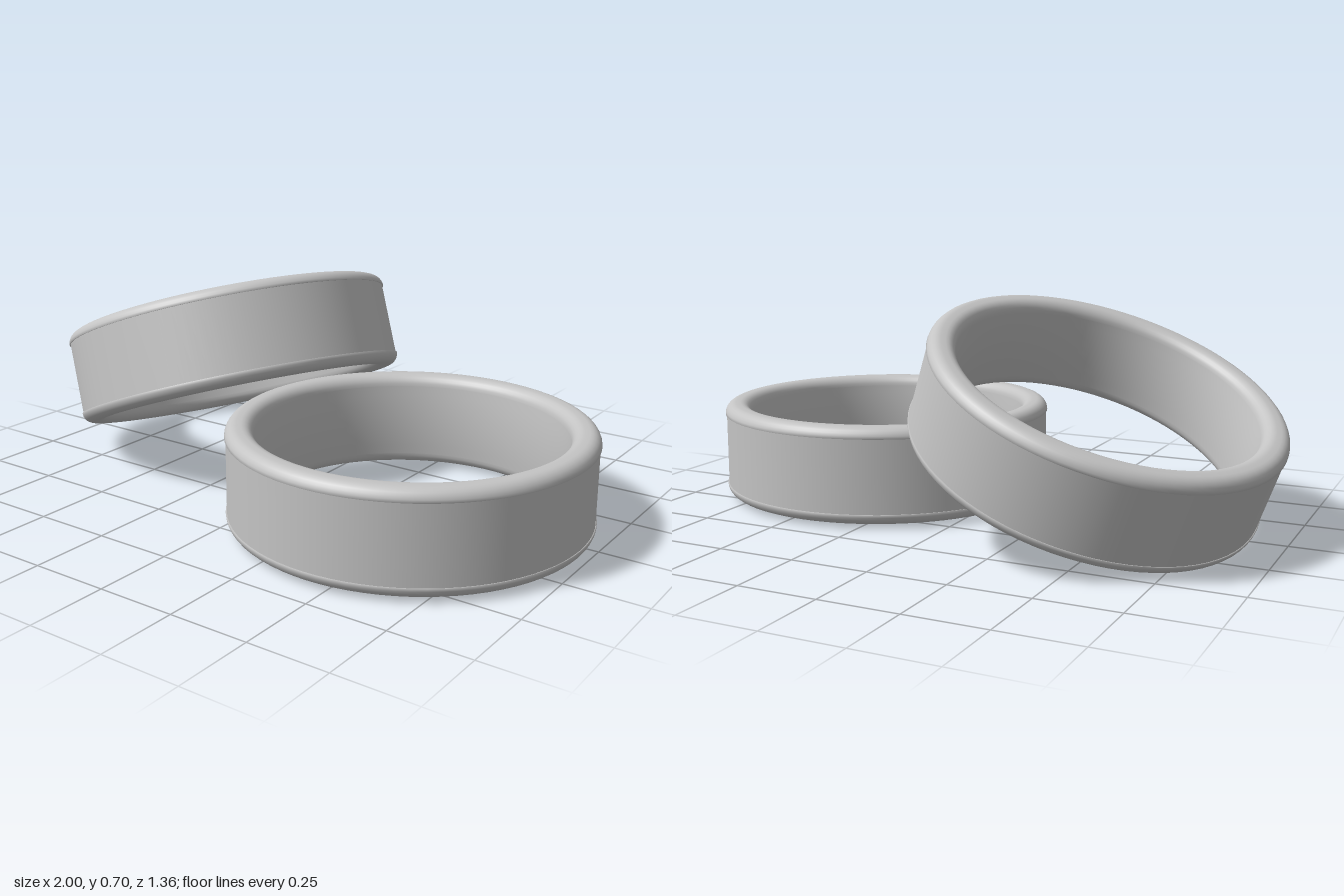
import * as THREE from 'three';

const OUTER = 0.56, INNER = 0.466, HALF = 0.156, SEGMENTS = 80;
const FILLET = 0.036; // rounding of the rims

// Quarter-round arc in the (radius, height) plane
function arc(cx, cy, r, from, to, steps = 6) {
  return Array.from({ length: steps + 1 }, (_, i) => {
    const a = from + (to - from) * i / steps;
    return new THREE.Vector2(cx + r * Math.cos(a), cy + r * Math.sin(a));
  });
}

function createRing(name, material) {
  const ring = new THREE.Group();
  ring.name = name;
  const add = (part, points) => {
    const mesh = new THREE.Mesh(new THREE.LatheGeometry(points, SEGMENTS), material);
    mesh.name = part;
    ring.add(mesh);
  };
  const P = Math.PI, yc = HALF - FILLET;
  const ro = OUTER - FILLET, ri = INNER + 0.007 + FILLET;

  // Outer wall, set in a hair from the rims
  add('outerBand', [
    new THREE.Vector2(OUTER - 0.004, -yc),
    new THREE.Vector2(OUTER - 0.004, yc),
  ]);
  // Rounded rims
  add('topRim', [
    new THREE.Vector2(OUTER - 0.004, yc),
    ...arc(ro, yc, FILLET, 0, P / 2),
    ...arc(ri, yc, FILLET, P / 2, P),
  ]);
  add('bottomRim', [
    ...arc(ri, -yc, FILLET, P, P * 1.5),
    ...arc(ro, -yc, FILLET, P * 1.5, P * 2),
    new THREE.Vector2(OUTER - 0.004, -yc),
  ]);
  // Slightly bulging inner wall
  add('innerBand', Array.from({ length: 9 }, (_, i) => {
    const t = 1 - i / 4;
    return new THREE.Vector2(INNER + 0.007 * t * t, yc * t);
  }));
  return ring;
}

export function createModel() {
  const model = new THREE.Group();
  model.name = 'ringPair';
  const metal = new THREE.MeshStandardMaterial({ color: 0xc4c4c4 });
  metal.name = 'silver';

  // Ring lying flat
  const flat = createRing('flatRing', metal);
  flat.position.set(0.435, 0.171, 0.12);

  // Ring leaning on the flat one
  const leaning = createRing('leaningRing', metal);
  leaning.position.set(-0.433, 0.355, -0.112);
  leaning.quaternion.setFromUnitVectors(
    new THREE.Vector3(0, 1, 0),
    new THREE.Vector3(-0.355, 0.92, -0.16).normalize(),
  );

  model.add(flat, leaning);
  return model;
}
